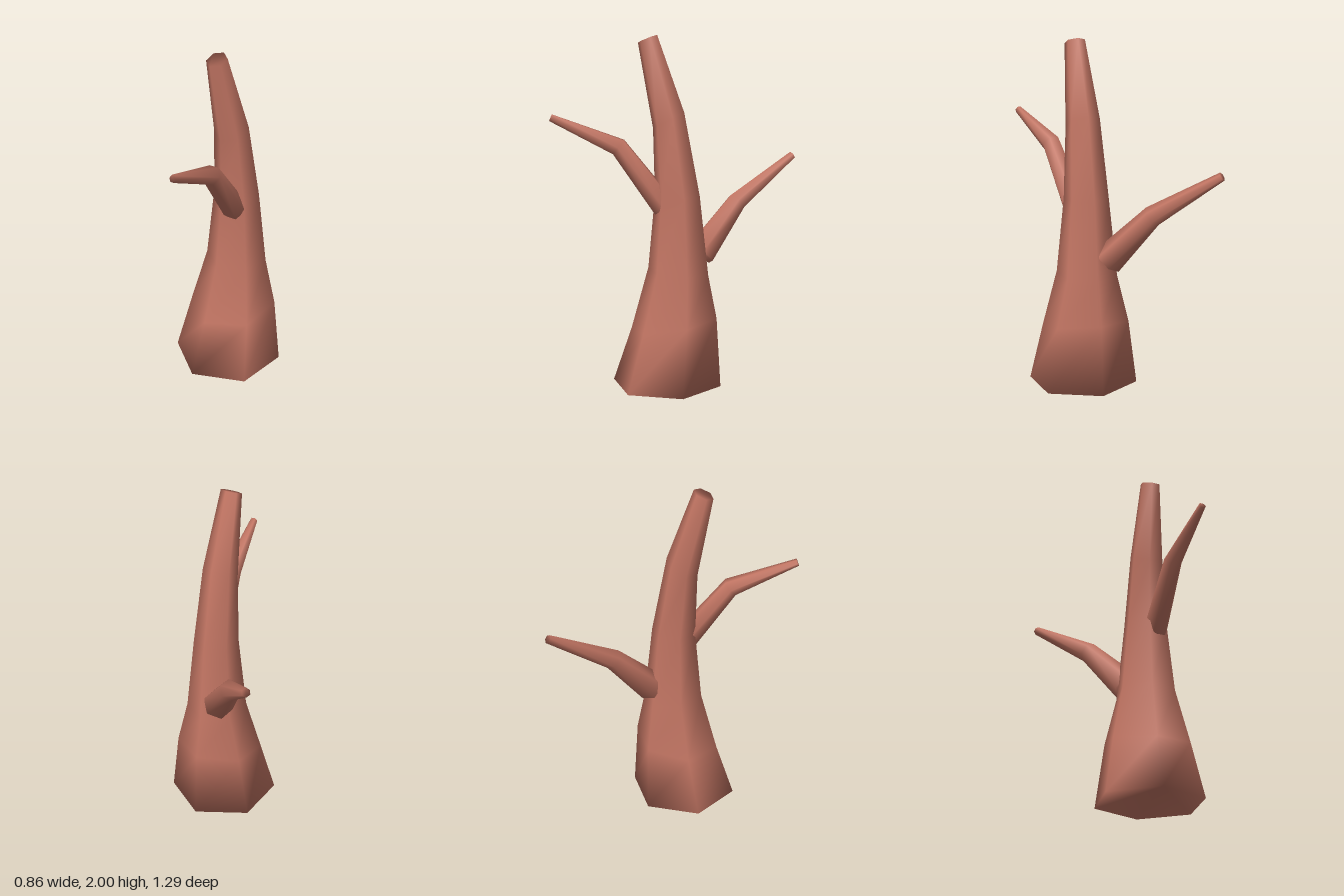
import * as THREE from 'three';

const SIDES = 6;
const V = (x, y, z) => new THREE.Vector3(x, y, z);

// Six-sided ring around c, spanned by a and b (a x b points along the limb)
function ring(c, a, b, phase = 0) {
  return Array.from({ length: SIDES }, (_, j) => {
    const t = phase + (j / SIDES) * Math.PI * 2;
    return c.clone().addScaledVector(a, Math.cos(t)).addScaledVector(b, Math.sin(t));
  });
}

// Skin a list of rings into a closed, smooth-shaded limb
function loft(rings) {
  const index = [];
  const last = (rings.length - 1) * SIDES;
  for (let i = 0; i < rings.length - 1; i++) {
    for (let j = 0; j < SIDES; j++) {
      const k = (j + 1) % SIDES;
      const p = i * SIDES, q = p + SIDES;
      index.push(p + j, p + k, q + k, p + j, q + k, q + j);
    }
  }
  for (let j = 1; j < SIDES - 1; j++) {
    index.push(0, j + 1, j, last, last + j, last + j + 1);
  }
  const geometry = new THREE.BufferGeometry().setFromPoints(rings.flat());
  geometry.setIndex(index);
  geometry.computeVertexNormals();
  return geometry;
}

// Tapered branch through points, with one radius per point
function branchGeometry(points, radii, phase) {
  const dirs = points.slice(1).map((p, i) => p.clone().sub(points[i]).normalize());
  return loft(points.map((p, i) => {
    const t = dirs[Math.max(i - 1, 0)].clone().add(dirs[Math.min(i, dirs.length - 1)]).normalize();
    const a = V(0, 1, 0).addScaledVector(t, -t.y).normalize();
    const b = t.clone().cross(a);
    return ring(p, a.multiplyScalar(radii[i]), b.multiplyScalar(radii[i]), phase);
  }));
}

export function createModel() {
  const bark = new THREE.MeshStandardMaterial({ name: 'reddish bark', color: 0xc27563 });
  const group = new THREE.Group();
  group.name = 'deadTree';
  const add = (name, geometry) => {
    const mesh = new THREE.Mesh(geometry, bark);
    mesh.name = name;
    group.add(mesh);
  };

  // Trunk: each ring given by its front and back corner (z, y, z, y)
  const trunk = [
    [0.33, 0, -0.305, 0],
    [0.22, 0.32, -0.28, 0.4],
    [0.12, 0.68, -0.23, 0.65],
    [0.08, 1.1, -0.18, 1.1],
    [0.09, 1.48, -0.09, 1.57],
    [0.175, 1.955, 0.065, 2.0],
  ];
  add('trunk', loft(trunk.map(([zf, yf, zb, yb]) => {
    const a = V(0, (yf - yb) / 2, (zf - zb) / 2);
    return ring(V(0.155, (yf + yb) / 2, (zf + zb) / 2), a, V(a.length(), 0, 0));
  })));

  // Branches
  add('backBranch', branchGeometry(
    [V(0.07, 0.755, -0.165), V(-0.128, 1.03, -0.34), V(-0.41, 1.28, -0.625)],
    [0.09, 0.06, 0.025], 0));
  add('frontBranch', branchGeometry(
    [V(0.198, 1.04, 0.015), V(0.25, 1.38, 0.265), V(0.328, 1.543, 0.635)],
    [0.073, 0.056, 0.022], Math.PI / 6));

  return group;
}
